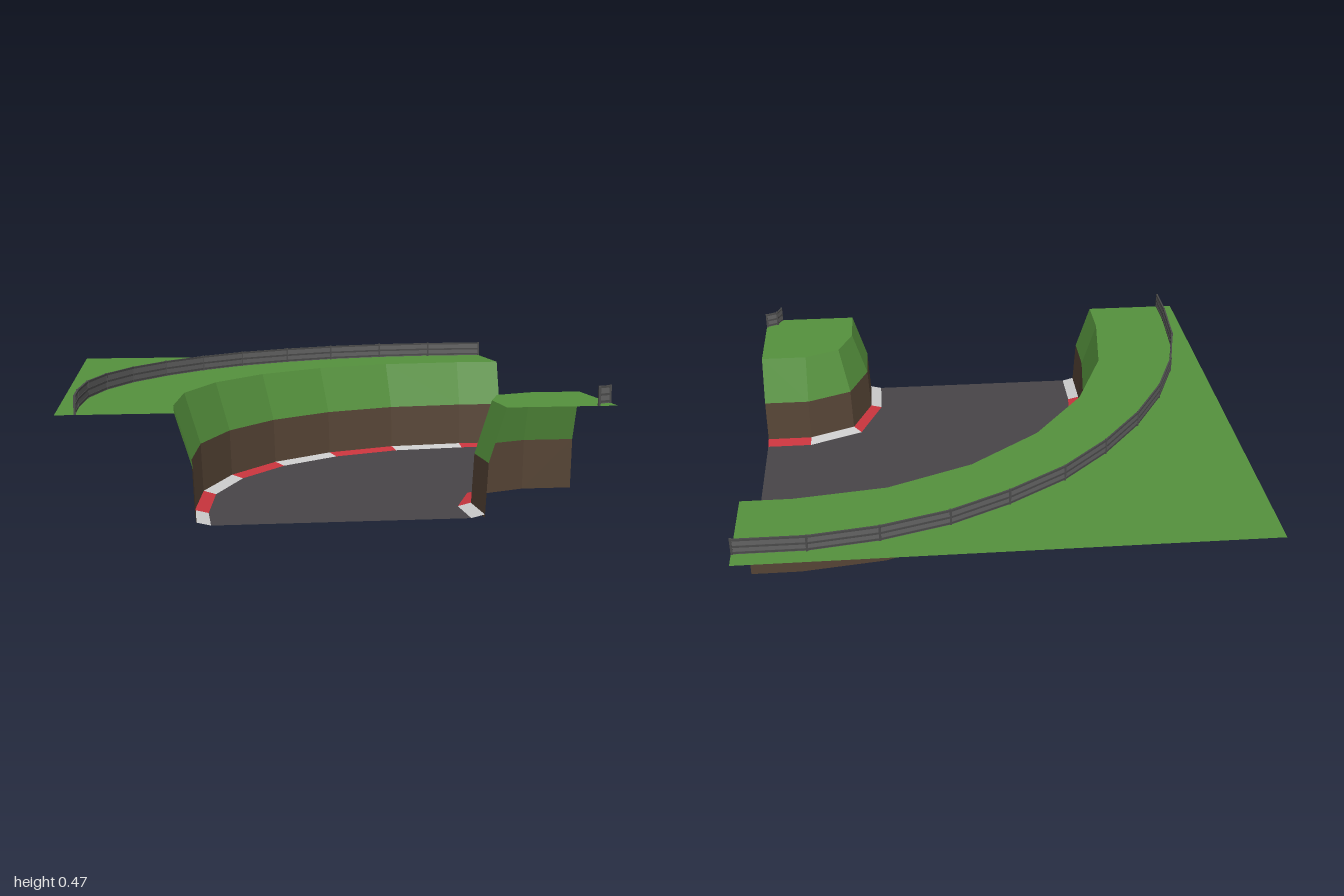
import * as THREE from 'three';

const CENTRE = 0.8; // the bend turns about (0.8, 0.8), with short straights at both ends

const mat = (color) => new THREE.MeshStandardMaterial({ color, side: THREE.DoubleSide, flatShading: true });

// Points [x, z] of a bend of radius r: straight, n arc steps, straight
function bend(r, n) {
  const pts = [[CENTRE - r, 1]];
  for (let i = 0; i <= n; i++) {
    const a = (i / n) * Math.PI / 2;
    pts.push([CENTRE - r * Math.cos(a), CENTRE - r * Math.sin(a)]);
  }
  pts.push([1, CENTRE - r]);
  return pts;
}

// Ribbon between two [x, z] paths at heights ya and yb, for the chosen segments
function ribbon(a, ya, b, yb, pick = () => true) {
  const pos = [];
  for (let i = 0; i < a.length - 1; i++) {
    if (!pick(i)) continue;
    const p = [a[i][0], ya, a[i][1]], q = [b[i][0], yb, b[i][1]];
    const r = [b[i + 1][0], yb, b[i + 1][1]], s = [a[i + 1][0], ya, a[i + 1][1]];
    pos.push(...p, ...q, ...r, ...p, ...r, ...s);
  }
  const g = new THREE.BufferGeometry();
  g.setAttribute('position', new THREE.Float32BufferAttribute(pos, 3));
  g.computeVertexNormals();
  return g;
}

// Horizontal sheet filling an outline of [x, z] points
function sheet(pts, y) {
  const shape = new THREE.Shape(pts.map(([x, z]) => new THREE.Vector2(x, -z)));
  return new THREE.ShapeGeometry(shape).rotateX(-Math.PI / 2).translate(0, y, 0);
}

export function createModel() {
  const model = new THREE.Group();
  const grass = mat(0x55913d), earth = mat(0x574536), asphalt = mat(0x484548);
  const red = mat(0xc8343d), white = mat(0xcccccc), steel = mat(0x626262), darkSteel = mat(0x4a4a4a);
  const add = (name, geometry, material, parent = model) => {
    const m = new THREE.Mesh(geometry, material);
    m.name = name;
    parent.add(m);
    return m;
  };

  // Road surface
  add('road', sheet([...bend(1.27, 6), ...bend(0.335, 2).reverse()], 0), asphalt);

  // Kerbs in alternating colours, rising away from the road
  const kerb = (name, a, ya, b, yb) => {
    add(name + 'White', ribbon(a, ya, b, yb, (i) => i % 2 === 0), white);
    add(name + 'Red', ribbon(a, ya, b, yb, (i) => i % 2 === 1), red);
  };
  kerb('outerKerb', bend(1.32, 6), 0.012, bend(1.27, 6), 0);
  kerb('innerKerb', bend(0.335, 2), 0, bend(0.285, 2), 0.012);

  // Outer bank: earth wall, grass slope and the plateau out to the square corner
  add('outerEarthWall', ribbon(bend(1.33, 6), 0.2, bend(1.32, 6), 0), earth);
  add('outerGrassSlope', ribbon(bend(1.393, 6), 0.4, bend(1.33, 6), 0.2), grass);
  add('outerPlateau', sheet([...bend(1.393, 6), [1, -1], [-1, -1], [-1, 1]], 0.4), grass);

  // Inner bank
  add('innerEarthWall', ribbon(bend(0.285, 2), 0, bend(0.275, 2), 0.2), earth);
  add('innerGrassSlope', ribbon(bend(0.275, 2), 0.2, bend(0.212, 2), 0.4), grass);
  add('innerPlateau', sheet([...bend(0.212, 2), [1, 1]], 0.4), grass);

  // Barrier: thin panel with rails and posts along a path
  function barrier(name, pts) {
    const g = new THREE.Group();
    g.name = name;
    pts.forEach(([x, z], i) => {
      add('post', new THREE.BoxGeometry(0.008, 0.068, 0.008), darkSteel, g).position.set(x, 0.434, z);
      if (i === pts.length - 1) return;
      const [x2, z2] = pts[i + 1];
      const length = Math.hypot(x2 - x, z2 - z);
      const span = (part, y, h, t, m) => {
        const b = add(part, new THREE.BoxGeometry(length, h, t), m, g);
        b.position.set((x + x2) / 2, y, (z + z2) / 2);
        b.rotation.y = Math.atan2(z - z2, x2 - x);
      };
      span('panel', 0.433, 0.064, 0.003, steel);
      for (const y of [0.408, 0.434, 0.462]) span('rail', y, 0.008, 0.007, darkSteel);
    });
    model.add(g);
  }
  barrier('outerBarrier', [
    [-0.93, 0.996], [-0.93, 0.83], [-0.91, 0.56], [-0.85, 0.31], [-0.75, 0.07], [-0.61, -0.16], [-0.44, -0.37],
    [-0.25, -0.55], [-0.02, -0.7], [0.21, -0.815], [0.47, -0.893], [0.73, -0.932], [0.996, -0.932],
  ]);
  barrier('innerBarrier', [[0.93, 0.996], [0.948, 0.95], [0.996, 0.928]]);

  return model;
}
